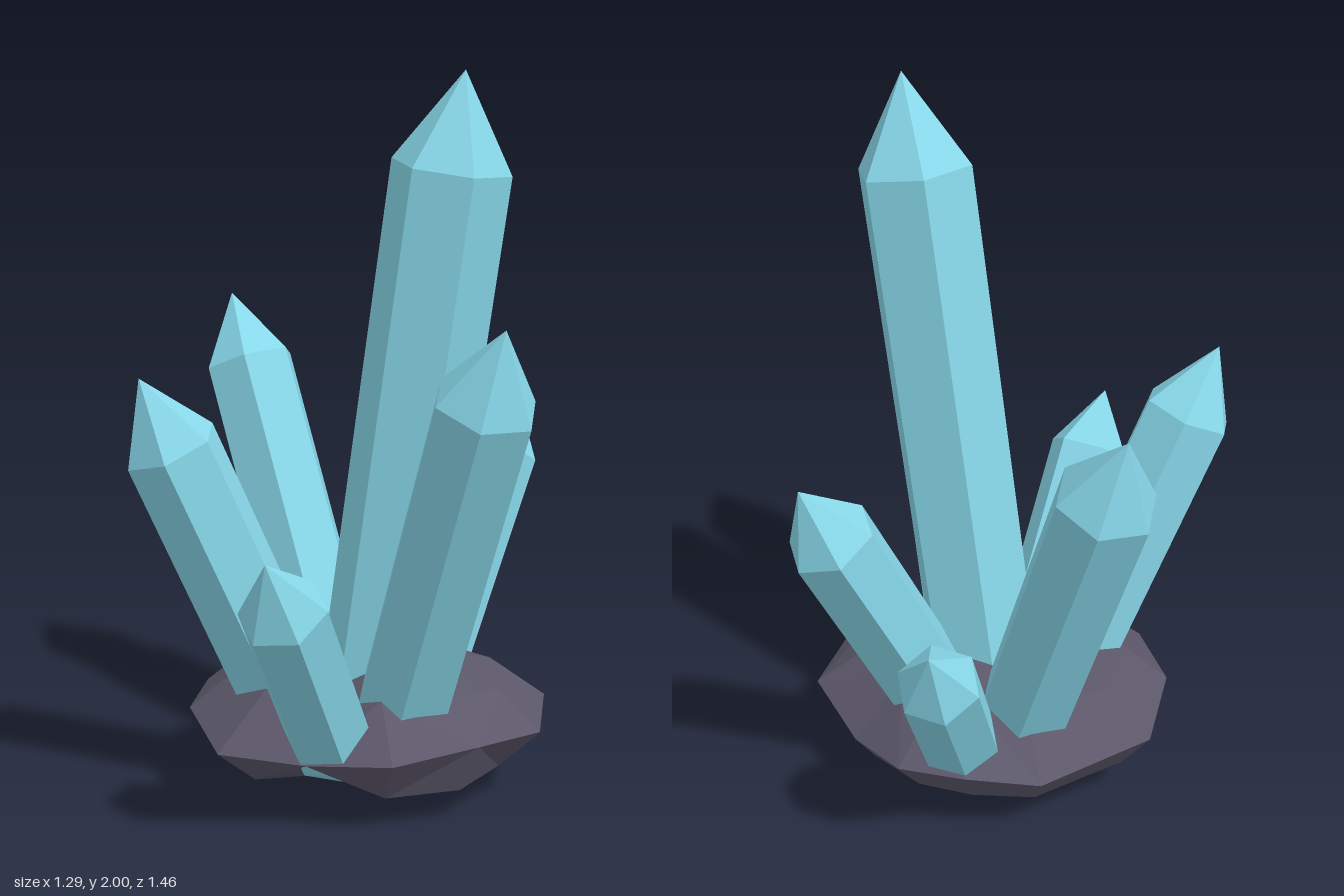
import * as THREE from 'three';

const crystalMat = new THREE.MeshStandardMaterial({ color: 0x88d8ea, flatShading: true });
const rockMat = new THREE.MeshStandardMaterial({ color: 0x5c586a, flatShading: true });

// Six-sided crystal, pointed at both ends, from root to tip.
// phase: degrees from +x towards +z of one prism edge.
function crystal(name, root, tip, r, phase) {
  const a = new THREE.Vector3(...root);
  const dir = new THREE.Vector3(...tip).sub(a);
  const h = dir.length();
  const point = r * 1.57;
  const profile = [[0, 0], [r, point], [r, h - point], [0, h]].map(p => new THREE.Vector2(...p));
  const geo = new THREE.LatheGeometry(profile, 6, THREE.MathUtils.degToRad(90 - phase));
  const mesh = new THREE.Mesh(geo, crystalMat);
  mesh.position.copy(a);
  mesh.quaternion.setFromUnitVectors(new THREE.Vector3(0, 1, 0), dir.normalize());
  mesh.name = name;
  return mesh;
}

// Low, faceted rock: bottom, waist and upper rings closed by two centre points.
function rock() {
  // per corner: angle, waist radius, waist y, upper scale, upper y, bottom scale
  const corners = [
    [-4, 0.53, 0.21, 0.78, 0.32, 0.78],
    [25, 0.49, 0.24, 0.7, 0.33, 0.85],
    [55, 0.475, 0.22, 0.68, 0.35, 0.8],
    [85, 0.43, 0.2, 0.52, 0.29, 0.5],
    [115, 0.5, 0.2, 0.66, 0.35, 0.75],
    [150, 0.48, 0.23, 0.72, 0.34, 0.85],
    [184, 0.51, 0.21, 0.72, 0.33, 0.82],
    [226, 0.5, 0.19, 0.7, 0.32, 0.84],
    [250, 0.51, 0.22, 0.66, 0.34, 0.8],
    [272, 0.51, 0.2, 0.6, 0.36, 0.82],
    [298, 0.48, 0.17, 0.68, 0.33, 0.88],
    [326, 0.54, 0.22, 0.7, 0.34, 0.8],
  ];
  const n = corners.length;
  const rings = [[], [], []];
  for (const [deg, r, y, us, uy, bs] of corners) {
    const t = THREE.MathUtils.degToRad(deg);
    const at = (rad, h) => [Math.cos(t) * rad, h, Math.sin(t) * rad];
    rings[0].push(at(r * bs, 0.095));
    rings[1].push(at(r, y));
    rings[2].push(at(r * us, uy));
  }
  const pos = [...rings.flat(), [0, 0.085, 0], [0.02, 0.39, -0.02]].flat();
  const index = [];
  for (let i = 0; i < n; i++) {
    const j = (i + 1) % n;
    for (let k = 0; k < 2; k++) {
      const a = k * n + i, b = k * n + j, c = a + n, d = b + n;
      if ((i + k) % 2) index.push(a, c, b, b, c, d);
      else index.push(a, c, d, a, d, b);
    }
    index.push(3 * n, i, j, 3 * n + 1, 2 * n + j, 2 * n + i);
  }
  const geo = new THREE.BufferGeometry();
  geo.setAttribute('position', new THREE.Float32BufferAttribute(pos, 3));
  geo.setIndex(index);
  geo.computeVertexNormals();
  const mesh = new THREE.Mesh(geo, rockMat);
  mesh.name = 'rockBase';
  return mesh;
}

export function createModel() {
  const model = new THREE.Group();
  model.name = 'crystalCluster';
  model.add(
    rock(),
    crystal('mainCrystal', [0, 0, -0.03], [0.29, 2, -0.03], 0.163, 47),
    crystal('frontLeftCrystal', [0.1, 0.04, 0.06], [0.59, 1.41, 0.45], 0.138, 12),
    crystal('frontRightCrystal', [-0.08, 0.045, 0.08], [-0.43, 1.21, 0.45], 0.132, 9),
    crystal('backRightCrystal', [-0.09, 0.05, -0.13], [-0.6, 1.31, -0.39], 0.137, 7),
    crystal('frontCrystal', [0.05, 0.07, 0.2], [0.08, 0.84, 0.73], 0.118, 47),
    crystal('backRightSmallCrystal', [-0.05, 0.07, -0.25], [-0.24, 0.76, -0.73], 0.112, 50),
    crystal('backLeftCrystal', [0.06, 0.05, -0.1], [0.23, 1.05, -0.62], 0.125, 45),
  );
  return model;
}
